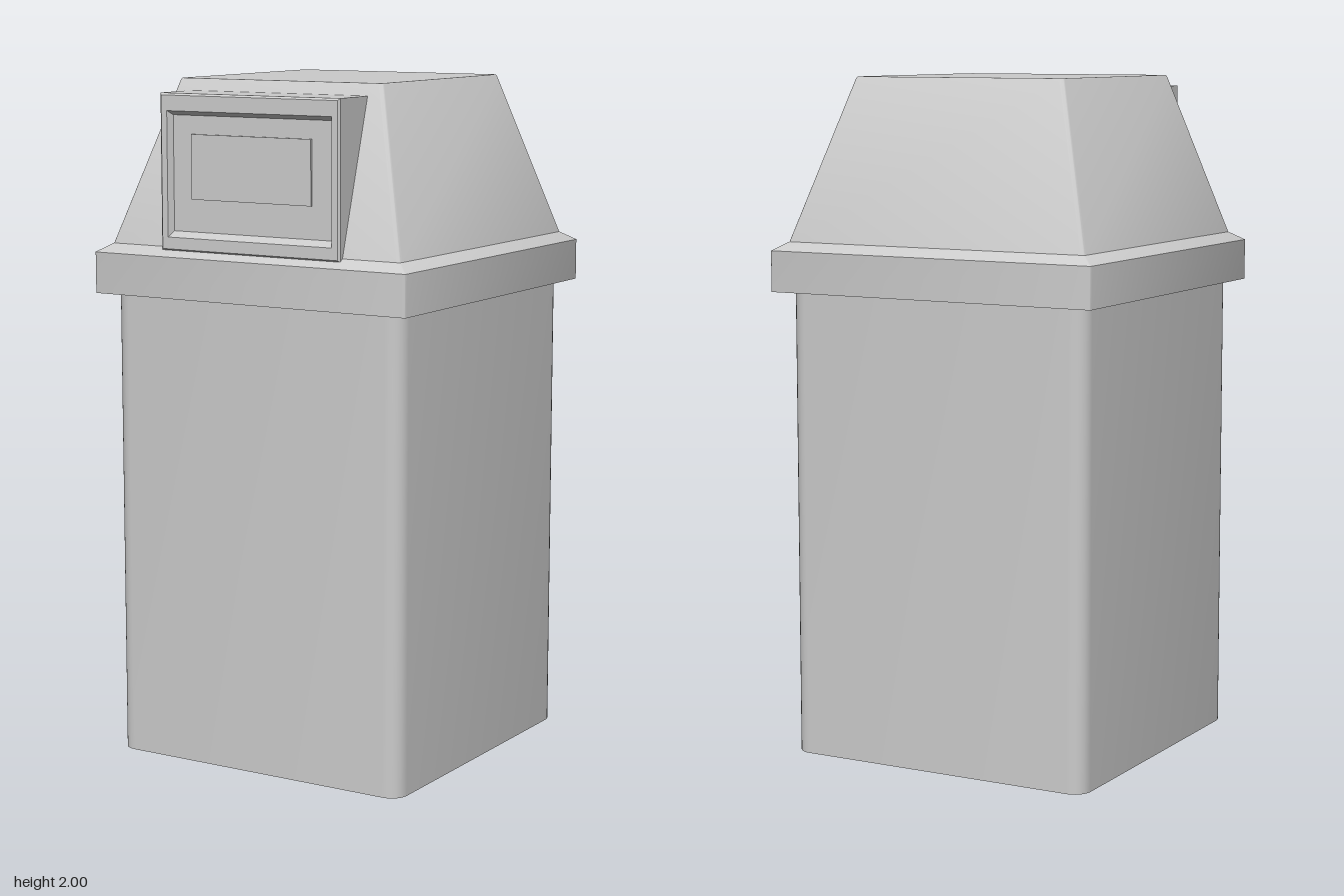
import * as THREE from 'three';
import { toCreasedNormals } from 'three/addons/utils/BufferGeometryUtils.js';

const material = new THREE.MeshStandardMaterial({ color: 0xcccccc, side: THREE.DoubleSide });

// Skin consecutive loops of points (anticlockwise seen from the last loop's side)
function loft(name, loops, capEnd) {
  const pos = [];
  const tri = (...pts) => pts.forEach((p) => pos.push(p.x, p.y, p.z));
  const n = loops[0].length;
  for (let k = 0; k < loops.length - 1; k++) {
    const a = loops[k], b = loops[k + 1];
    for (let i = 0; i < n; i++) {
      const j = (i + 1) % n;
      tri(a[i], a[j], b[j]);
      tri(a[i], b[j], b[i]);
    }
  }
  if (capEnd) {
    const end = loops[loops.length - 1];
    for (let i = 1; i < n - 1; i++) tri(end[0], end[i], end[i + 1]);
  }
  const geometry = new THREE.BufferGeometry();
  geometry.setAttribute('position', new THREE.Float32BufferAttribute(pos, 3));
  const mesh = new THREE.Mesh(toCreasedNormals(geometry, 0.6), material);
  mesh.name = name;
  return mesh;
}

// Horizontal rounded square at height y
function roundedSquare(y, half, r, segments = 6) {
  const pts = [];
  for (let c = 0; c < 4; c++) {
    const mid = Math.PI / 4 + c * Math.PI / 2;
    const cx = Math.sign(Math.cos(mid)) * (half - r);
    const cz = -Math.sign(Math.sin(mid)) * (half - r);
    for (let s = 0; s <= segments; s++) {
      const t = (c + s / segments) * Math.PI / 2;
      pts.push(new THREE.Vector3(cx + r * Math.cos(t), y, cz - r * Math.sin(t)));
    }
  }
  return pts;
}

// Upright rectangle facing +z, optionally leaning (different z at its top)
function uprightRect(w, y0, y1, z, zTop = z) {
  return [
    new THREE.Vector3(-w, y0, z), new THREE.Vector3(w, y0, z),
    new THREE.Vector3(w, y1, zTop), new THREE.Vector3(-w, y1, zTop),
  ];
}

export function createModel() {
  const model = new THREE.Group();
  model.name = 'litterBin';

  // Hollow body, open underneath
  model.add(loft('body', [roundedSquare(0, 0.483, 0.05), roundedSquare(1.38, 0.483, 0.05)], false));

  // Lid: underside lip, vertical rim, bevel, tapering hood and flat top
  model.add(loft('lid', [
    roundedSquare(1.38, 0.483, 0.05),
    roundedSquare(1.38, 0.522, 0.008),
    roundedSquare(1.5, 0.522, 0.008),
    roundedSquare(1.525, 0.484, 0.012),
    roundedSquare(1.996, 0.341, 0.012),
    roundedSquare(2, 0.337, 0.01),
  ], true));

  // Wedge-shaped opening surround with a recessed door and raised centre panel
  model.add(loft('doorHousing', [
    uprightRect(0.3, 1.515, 1.965, 0.485, 0.348),
    uprightRect(0.3, 1.515, 1.965, 0.494),
    uprightRect(0.294, 1.521, 1.959, 0.5),
    uprightRect(0.275, 1.555, 1.915, 0.5),
    uprightRect(0.265, 1.572, 1.903, 0.482),
    uprightRect(0.2, 1.665, 1.85, 0.482),
    uprightRect(0.2, 1.665, 1.85, 0.488),
  ], true));

  return model;
}
